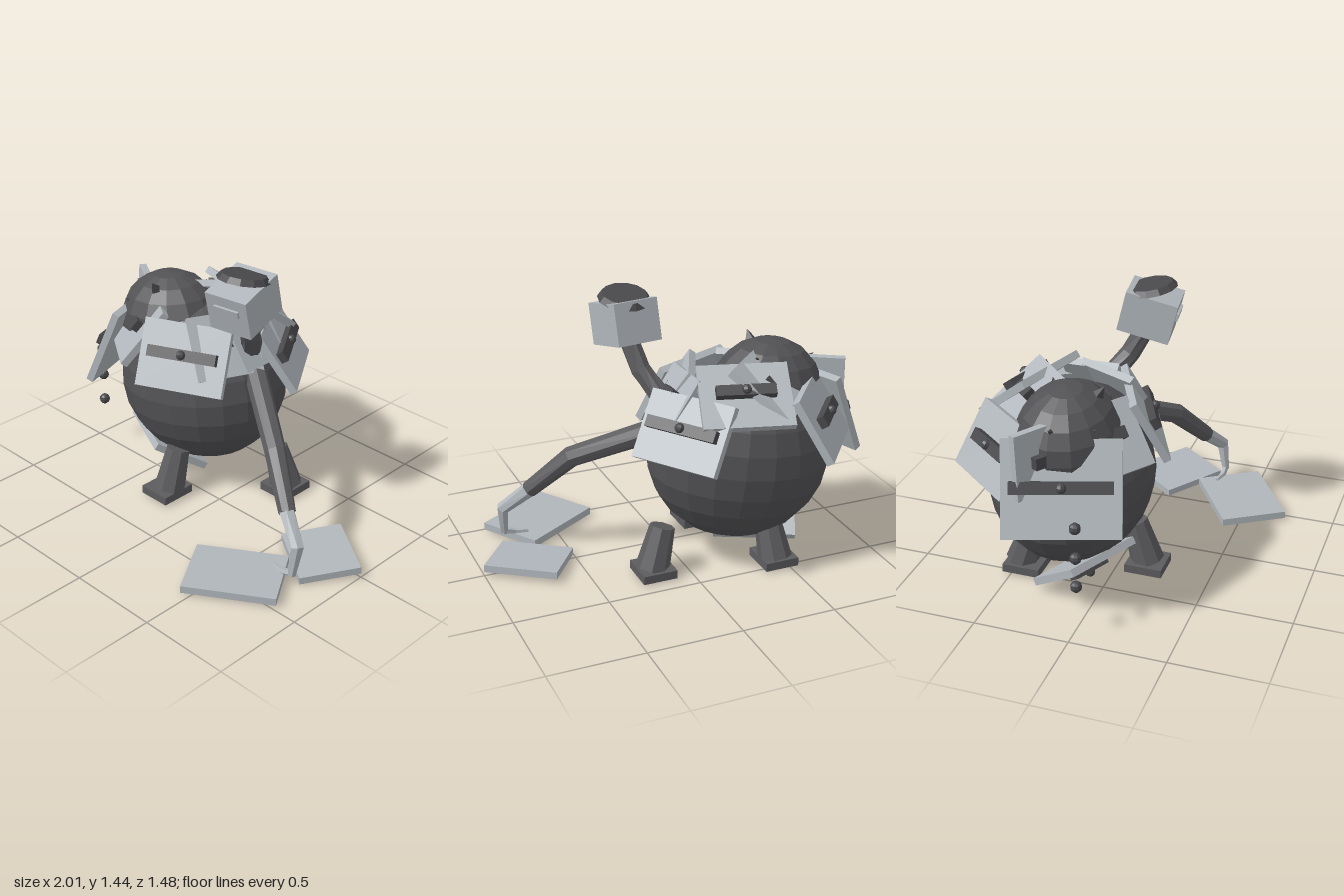
import * as THREE from 'three';

const flat = (name, color) => {
  const m = new THREE.MeshStandardMaterial({ color, flatShading: true });
  m.name = name;
  return m;
};
const V = (a) => new THREE.Vector3(...a);

export function createModel() {
  const root = new THREE.Group();
  root.name = 'armouredRoundCreature';
  const plateGrey = flat('plate grey', 0xb0b6bb);
  const hide = flat('dark hide', 0x525255);
  const limbGrey = flat('limb grey', 0x5c5c5f);
  const barGrey = flat('bar charcoal', 0x49494c);

  const add = (name, geo, mat, pos = [0, 0, 0], rot = [0, 0, 0], parent = root) => {
    const m = new THREE.Mesh(geo, mat);
    m.name = name;
    m.position.set(...pos);
    m.rotation.set(rot[0], rot[1], rot[2], 'YXZ');
    parent.add(m);
    return m;
  };
  const box = (w, h, d) => new THREE.BoxGeometry(w, h, d);

  // Mitred limb: one ring of `sides` corners at each path point, capped ends
  const limb = (name, mat, path, radii, sides = 8) => {
    const pts = path.map(V), pos = [], idx = [];
    const ref = new THREE.Vector3(0.3, 0.2, 1).normalize();
    pts.forEach((p, i) => {
      const t = pts[Math.min(i + 1, pts.length - 1)].clone().sub(pts[Math.max(i - 1, 0)]).normalize();
      const u = ref.clone().cross(t).normalize(), w = t.clone().cross(u);
      for (let k = 0; k < sides; k++) {
        const a = (k / sides) * Math.PI * 2;
        const q = p.clone().addScaledVector(u, Math.cos(a) * radii[i]).addScaledVector(w, Math.sin(a) * radii[i]);
        pos.push(q.x, q.y, q.z);
      }
    });
    for (let i = 0; i < pts.length - 1; i++)
      for (let k = 0; k < sides; k++) {
        const a = i * sides + k, b = i * sides + ((k + 1) % sides);
        idx.push(a, b, b + sides, a, b + sides, a + sides);
      }
    const last = (pts.length - 1) * sides;
    for (let k = 1; k < sides - 1; k++) idx.push(0, k + 1, k, last, last + k, last + k + 1);
    const g = new THREE.BufferGeometry();
    g.setAttribute('position', new THREE.Float32BufferAttribute(pos, 3));
    g.setIndex(idx);
    g.computeVertexNormals();
    return add(name, g, mat);
  };

  // Round body and the hump on its right shoulder
  add('body', new THREE.SphereGeometry(1, 20, 12), hide, [-0.337, 0.58, -0.215], [0, 0, 0.12]).scale.set(0.49, 0.46, 0.42);
  add('hump', new THREE.SphereGeometry(1, 14, 10), hide, [-0.52, 0.88, -0.16], [0, 0, 0.1]).scale.set(0.3, 0.275, 0.265);

  // Small spikes on the hump
  const humpCentre = V([-0.52, 0.88, -0.16]);
  [[-0.49, 1.13, 0.0], [-0.4, 1.09, -0.28], [-0.77, 1.02, -0.155], [-0.66, 1.0, 0.02]].forEach((p) => {
    const s = add('humpSpike', new THREE.ConeGeometry(0.03, 0.06, 4), barGrey, p);
    s.quaternion.setFromUnitVectors(V([0, 1, 0]), V(p).sub(humpCentre).normalize());
  });

  // Armour plate: yaw turns it outward, tilt leans its face up (or down when negative)
  const plate = (name, pos, yaw, tilt, w, h, bar, knob, roll = 0) => {
    const g = new THREE.Group();
    g.name = name;
    g.position.set(...pos);
    g.rotation.set(-tilt, yaw, roll, 'YXZ');
    root.add(g);
    add('plate', box(w, h, 0.04), plateGrey, [0, 0, 0], [0, 0, 0], g);
    if (bar) add('plateBar', box(bar, 0.06, 0.05), barGrey, [0, 0.01, 0.035], [0, 0, 0], g);
    if (knob) add('plateKnob', new THREE.SphereGeometry(0.026, 8, 6), barGrey, [0, 0.01, 0.062], [0, 0, 0], g);
  };
  plate('frontPlate', [-0.15, 0.87, 0.11], 0.43, 0.5, 0.48, 0.36, 0.38, true);
  plate('leftBackPlate', [0.06, 0.825, -0.42], 2.16, 0.58, 0.48, 0.36, 0.4, true);
  plate('rightBackPlate', [-0.67, 0.82, -0.49], -2.25, 0.55, 0.48, 0.36, 0.3, true);
  plate('backPlate', [-0.24, 0.99, -0.48], 2.87, 0.9, 0.46, 0.36, 0.3, true);
  plate('rightHangingPlate', [-0.81, 0.745, -0.09], -1.25, 0.4, 0.58, 0.48, 0.5, true);
  plate('frontRightPlate', [-0.53, 0.9, 0.07], -0.6, 0.7, 0.32, 0.36, 0.11, false);
  plate('upperBackPlate', [-0.41, 1.0, -0.42], -2.36, 0.95, 0.36, 0.38, 0.13, false);
  plate('leftShoulderPlate', [-0.03, 0.92, -0.07], 1.14, 0.6, 0.36, 0.34, 0.12, false);
  plate('neckPlate', [0.03, 0.93, -0.22], 1.6, 0.6, 0.3, 0.3, 0.1, false);
  plate('rightFin', [-0.8, 0.87, -0.22], -0.56, 0.05, 0.26, 0.34, 0.08, false);
  plate('bellyPlate', [-0.5, 0.15, -0.1], -0.45, -1.0, 0.44, 0.34, 0.22, true);

  // Loose plates on the ground
  add('groundPlateFront', box(0.48, 0.04, 0.362), plateGrey, [0.563, 0.04, 0.455], [0, 0.563, 0]);
  add('groundPlateBack', box(0.39, 0.038, 0.32), plateGrey, [0.75, 0.04, 0.022], [0.07, -0.6, 0]);

  // Falling beads
  [0.61, 0.445, 0.285].forEach((y) =>
    add('bead', new THREE.SphereGeometry(0.03, 8, 6), barGrey, [-0.92, y, 0.016]));

  // Three stubby legs with square feet: [foot x, foot z, ankle, hip]
  [
    [-0.248, 0.16, [-0.235, 0.05, 0.155], [-0.233, 0.275, 0.085]],
    [-0.448, -0.445, [-0.44, 0.05, -0.47], [-0.42, 0.275, -0.4]],
    [0.188, -0.325, [0.195, 0.05, -0.325], [0.13, 0.27, -0.305]],
  ].forEach(([x, z, ankle, hip]) => {
    add('foot', box(0.185, 0.045, 0.2), limbGrey, [x, 0.04, z]);
    limb('leg', limbGrey, [ankle, hip], [0.09, 0.066]);
  });

  // Arm, pale forearm and curled finger
  limb('upperArm', limbGrey, [[0.0, 0.82, -0.24], [0.09, 0.76, -0.18], [0.48, 0.56, 0.085], [0.68, 0.35, 0.21]],
    [0.065, 0.062, 0.056, 0.045]);
  limb('forearm', plateGrey, [[0.675, 0.355, 0.208], [0.81, 0.235, 0.275], [0.8, 0.08, 0.3]], [0.042, 0.036, 0.022], 6);
  limb('finger', plateGrey, [[0.81, 0.09, 0.295], [0.74, 0.072, 0.3], [0.67, 0.07, 0.285]], [0.02, 0.017, 0.01], 5);

  // Neck
  limb('neck', limbGrey, [[0.02, 0.87, -0.2], [0.08, 0.93, -0.16], [0.15, 1.05, -0.07], [0.19, 1.22, 0.02]],
    [0.058, 0.056, 0.052, 0.05]);

  // Box head with a face bar and a tilted round cap
  const head = new THREE.Group();
  head.name = 'head';
  head.position.set(0.195, 1.284, 0.026);
  head.rotation.set(0.24, 0.14, 0, 'YXZ');
  root.add(head);
  add('skull', box(0.245, 0.215, 0.275), plateGrey, [0, 0, 0], [0, 0, 0], head);
  add('faceBar', box(0.145, 0.038, 0.03), plateGrey, [0, 0.03, 0.135], [0, 0, 0], head);
  add('cap', new THREE.CylinderGeometry(0.115, 0.138, 0.03, 12), barGrey, [0.195, 1.415, 0.027], [-0.2, 0.1, 0]);

  return root;
}
